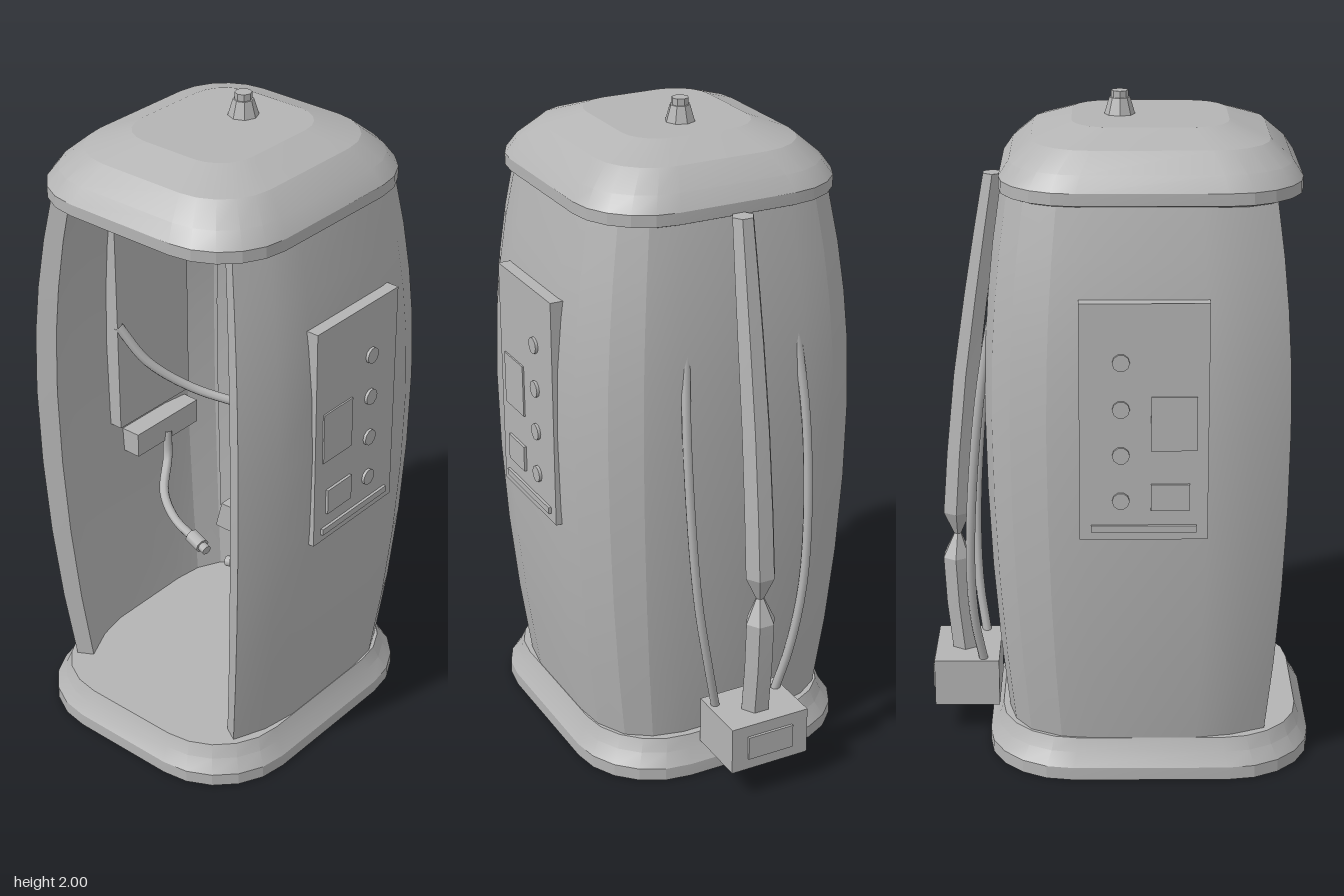
import * as THREE from 'three';
import { toCreasedNormals } from 'three/addons/utils/BufferGeometryUtils.js';

const grey = new THREE.MeshStandardMaterial({ color: 0xb4b4b4 });

function add(parent, name, geometry, x = 0, y = 0, z = 0) {
  const m = new THREE.Mesh(geometry, grey);
  m.name = name;
  m.position.set(x, y, z);
  parent.add(m);
  return m;
}
const box = (w, h, d) => new THREE.BoxGeometry(w, h, d);

// Skin a stack of closed rings, lowest first; cap is 'fan', or 'strip' for C-shaped rings
function loft(rings, cap) {
  const p = [];
  const n = rings[0].length;
  const tri = (a, b, c) => p.push(...a, ...b, ...c);
  for (let i = 0; i < rings.length - 1; i++) {
    for (let j = 0; j < n; j++) {
      const k = (j + 1) % n;
      const [a, b] = [rings[i], rings[i + 1]];
      tri(a[j], b[j], a[k]);
      tri(b[j], b[k], a[k]);
    }
  }
  const low = rings[0], high = rings[rings.length - 1];
  if (cap === 'fan') {
    for (let j = 1; j < n - 1; j++) {
      tri(low[0], low[j], low[j + 1]);
      tri(high[0], high[j + 1], high[j]);
    }
  } else {
    for (let j = 0; j < n / 2 - 1; j++) {
      const q = n - 1 - j;
      tri(low[j], low[j + 1], low[q - 1]);
      tri(low[j], low[q - 1], low[q]);
      tri(high[j], high[q - 1], high[j + 1]);
      tri(high[j], high[q], high[q - 1]);
    }
  }
  const g = new THREE.BufferGeometry();
  g.setAttribute('position', new THREE.Float32BufferAttribute(p, 3));
  return toCreasedNormals(g, 0.3);
}

// Rounded rectangle ring in the horizontal plane
function roundedRing(hx, hz, r, y, cz) {
  const ring = [];
  for (let c = 0; c < 4; c++) {
    const sx = c === 0 || c === 3 ? 1 : -1, sz = c < 2 ? 1 : -1;
    for (let s = 0; s <= 5; s++) {
      const a = (c + s / 5) * Math.PI / 2;
      ring.push([sx * (hx - r) + r * Math.cos(a), y, cz + sz * (hz - r) + r * Math.sin(a)]);
    }
  }
  return ring;
}

// Barrel-shaped wall: half outlines run from the back to the front edge
function barrelShell(outer, inner, ys) {
  const mirror = (pts) => pts.slice().reverse().map(([x, z]) => [-x, z]);
  const loop = [...mirror(outer), ...outer, ...inner.slice().reverse(), ...mirror(inner).reverse()];
  return loft(ys.map((y) => {
    const t = (y - 1.1) / (y > 1.1 ? 0.67 : 0.98);
    return loop.map(([x, z]) => [x * (1 - 0.16 * t * t), y, 0.07 + (z - 0.07) * (1 - 0.12 * t * t)]);
  }), 'strip');
}

// Trapezoid block, tapering towards its top
function wedge(bottom, top, height, depth) {
  const s = new THREE.Shape([[-bottom, 0], [bottom, 0], [top, height], [-top, height]]
    .map(([x, y]) => new THREE.Vector2(x, y)));
  return new THREE.ExtrudeGeometry(s, { depth, bevelEnabled: false });
}

// Round hose, with an optional two-step nozzle on its far end
function hose(parent, name, pts, radius, nozzle) {
  const curve = new THREE.CatmullRomCurve3(pts.map((q) => new THREE.Vector3(...q)));
  add(parent, name, new THREE.TubeGeometry(curve, 20, radius, 8));
  if (!nozzle) return;
  const dir = curve.getTangent(1);
  for (const [r, len, shift] of [[radius * 1.6, 0.055, 0], [radius * 1.1, 0.03, 0.035]]) {
    const m = add(parent, name + 'Nozzle', new THREE.CylinderGeometry(r, r, len, 8));
    m.position.copy(curve.getPoint(1)).addScaledVector(dir, shift);
    m.quaternion.setFromUnitVectors(new THREE.Vector3(0, 1, 0), dir);
  }
}

// Control panel on the outside of one wall
function controlPanel(parent, side) {
  const g = new THREE.Group();
  g.name = 'controlPanel';
  parent.add(g);
  add(g, 'panelSlab', box(0.045, 0.7, 0.365), side * 0.45, 1.15, 0.065);
  for (let i = 0; i < 4; i++) {
    const b = add(g, 'button', new THREE.CylinderGeometry(0.025, 0.025, 0.012, 10),
      side * 0.475, 1.33 - i * 0.137, 0);
    b.rotation.z = Math.PI / 2;
  }
  add(g, 'display', box(0.008, 0.16, 0.13), side * 0.4735, 1.15, 0.15);
  add(g, 'switchPlate', box(0.012, 0.08, 0.11), side * 0.475, 0.93, 0.14);
  add(g, 'slot', box(0.012, 0.02, 0.3), side * 0.475, 0.835, 0.065);
}

export function createModel() {
  const model = new THREE.Group();
  model.name = 'capsuleBooth';

  // Flared base and domed roof
  add(model, 'base', loft([[0.43, 0.49, 0], [0.43, 0.49, 0.04], [0.405, 0.465, 0.08], [0.39, 0.45, 0.12]]
    .map(([x, z, y]) => roundedRing(x, z, x * 0.6, y, 0.09)), 'fan'));
  add(model, 'roof', loft([[0.375, 0.41, 1.745], [0.4, 0.432, 1.755], [0.4, 0.432, 1.79], [0.37, 0.402, 1.835],
    [0.31, 0.34, 1.89], [0.2, 0.225, 1.932]]
    .map(([x, z, y]) => roundedRing(x, z, x * 0.55, y, 0.087)), 'fan'));
  add(model, 'roofKnob', toCreasedNormals(new THREE.CylinderGeometry(0.03, 0.045, 0.05, 8), 0.3), 0, 1.955, 0);
  add(model, 'roofKnobTip', toCreasedNormals(new THREE.CylinderGeometry(0.025, 0.025, 0.03, 8), 0.3), 0, 1.985, 0);

  // Curved wall, open at the front
  const outer = [[0.2, -0.395], [0.31, -0.37], [0.395, -0.315], [0.45, -0.21], [0.463, -0.1],
    [0.463, 0.245], [0.44, 0.37], [0.39, 0.485]];
  const inner = [[0.19, -0.345], [0.28, -0.325], [0.355, -0.275], [0.4, -0.19], [0.413, -0.09],
    [0.413, 0.235], [0.39, 0.34], [0.335, 0.455]];
  add(model, 'wall', barrelShell(outer, inner, [0.1, 0.35, 0.6, 0.85, 1.1, 1.3, 1.45, 1.6, 1.77]));

  // Padded lining on the inside of the back
  const liningBack = [[0.19, -0.35], [0.28, -0.33], [0.345, -0.28]];
  const liningFront = [[0.18, -0.325], [0.265, -0.305], [0.33, -0.26]];
  add(model, 'backLining', barrelShell(liningBack, liningFront, [0.27, 0.5, 0.8, 1.1, 1.35, 1.62]));

  // Seat and headrest
  add(model, 'seatPedestal', box(0.23, 0.26, 0.19), 0, 0.25, -0.235);
  add(model, 'seat', wedge(0.21, 0.185, 0.095, 0.22), 0, 0.38, -0.33);
  add(model, 'headrest', wedge(0.11, 0.09, 0.19, 0.11), 0, 1.2, -0.33);

  // Hose hanging over the headrest
  hose(model, 'hangingHose', [[0, 1.53, -0.33], [0.02, 1.5, -0.22], [0.045, 1.3, -0.17], [0.06, 1.12, -0.16]], 0.017, true);

  // Fittings repeated on both sides
  for (const s of [1, -1]) {
    controlPanel(model, s);
    add(model, 'innerSidePanel', box(0.05, 0.7, 0.32), s * 0.39, 1.17, 0);
    add(model, 'armrest', box(0.07, 0.08, 0.28), s * 0.375, 0.74, -0.03);
    hose(model, 'harnessHose', [[s * 0.37, 1.18, 0.15], [s * 0.3, 1.06, 0.1], [s * 0.2, 0.965, 0.01],
      [s * 0.06, 0.915, -0.08]], 0.015, true);
    hose(model, 'lowerHose', [[s * 0.345, 0.73, -0.03], [s * 0.335, 0.64, -0.02], [s * 0.28, 0.565, 0.06],
      [s * 0.2, 0.52, 0.1], [s * 0.09, 0.495, 0.12]], 0.015, true);
    hose(model, 'rearCable', [[s * 0.17, 1.5, -0.35], [s * 0.195, 1.1, -0.415], [s * 0.18, 0.65, -0.45],
      [s * 0.14, 0.4, -0.445], [s * 0.1, 0.23, -0.42]], 0.014, false);
  }
  add(model, 'harnessClasp', box(0.06, 0.03, 0.035), 0, 0.905, -0.08);

  // Thick rear duct, pinched near its lower end
  const duct = [[0.22, -0.48, 0.045], [0.4, -0.498, 0.045], [0.55, -0.505, 0.045], [0.625, -0.5, 0.012],
    [0.7, -0.5, 0.046], [0.9, -0.485, 0.045], [1.15, -0.46, 0.043], [1.4, -0.425, 0.04], [1.6, -0.395, 0.036],
    [1.76, -0.37, 0.032]];
  add(model, 'rearDuct', loft(duct.map(([y, z, r]) => Array.from({ length: 6 }, (_, i) => {
    const a = i * Math.PI / 3;
    return [1.05 * r * Math.cos(a), y, z + r * Math.sin(a)];
  }), ), 'fan'));

  // Rear supply box
  add(model, 'supplyBox', box(0.256, 0.15, 0.2), 0, 0.172, -0.474);
  add(model, 'supplyBoxPlate', box(0.15, 0.075, 0.012), 0, 0.172, -0.576);

  return model;
}
